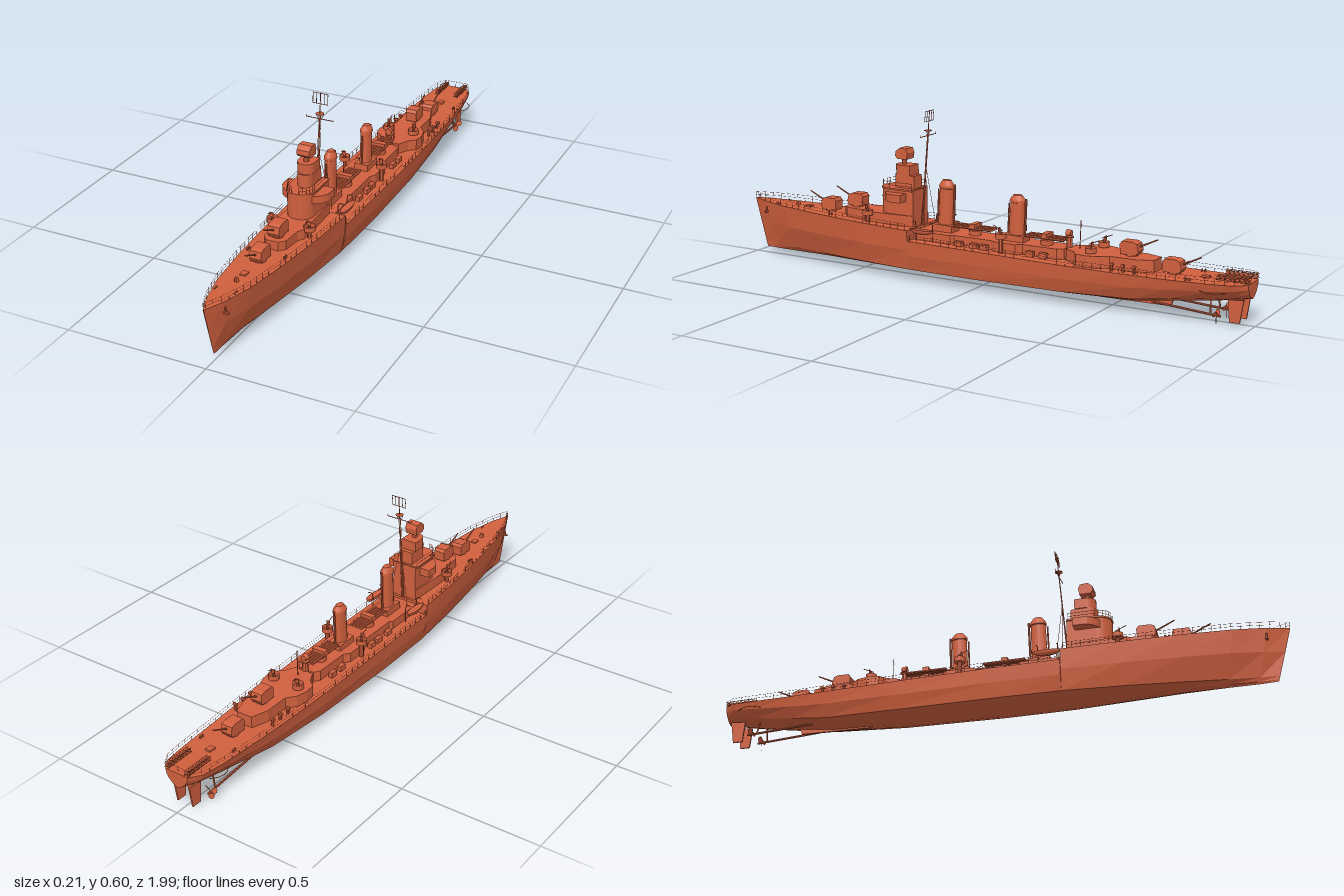
import * as THREE from 'three';
import { mergeGeometries } from 'three/addons/utils/BufferGeometryUtils.js';

const mat = new THREE.MeshStandardMaterial({ color: 0xd0603e, flatShading: true, side: THREE.DoubleSide });
const V = (x, y, z) => new THREE.Vector3(x, y, z);

// Hull stations: z, deck half width, chine half width, deck height, keel height
const STATIONS = [
  [1, 0.001, 0.001, 0.208, 0.024], [0.93, 0.03, 0.008, 0.205, 0.022], [0.82, 0.058, 0.022, 0.201, 0.022],
  [0.65, 0.08, 0.045, 0.196, 0.022], [0.45, 0.097, 0.07, 0.19, 0.022], [0.25, 0.106, 0.088, 0.186, 0.022],
  [0.249, 0.106, 0.088, 0.148, 0.022], [0, 0.107, 0.092, 0.146, 0.022], [-0.35, 0.105, 0.085, 0.14, 0.024],
  [-0.6, 0.097, 0.07, 0.138, 0.031], [-0.72, 0.09, 0.06, 0.138, 0.046], [-0.87, 0.081, 0.05, 0.14, 0.068],
  [-0.95, 0.071, 0.045, 0.143, 0.083], [-0.99, 0.045, 0.03, 0.145, 0.09],
];

export function createModel() {
  const root = new THREE.Group();
  root.name = 'warship';
  const mesh = (name, geo, parent = root) => {
    const m = new THREE.Mesh(geo, mat);
    m.name = name;
    parent.add(m);
    return m;
  };
  const box = (w, h, d, x, y, z) => new THREE.BoxGeometry(w, h, d).translate(x, y, z);
  const cyl = (r0, r1, h, x, y, z, n = 12) => new THREE.CylinderGeometry(r1, r0, h, n).translate(x, y + h / 2, z);
  const bar = (a, b, r = 0.0008, n = 4, r1 = r) => {
    const d = b.clone().sub(a);
    const g = new THREE.CylinderGeometry(r1, r, d.length(), n);
    g.applyQuaternion(new THREE.Quaternion().setFromUnitVectors(V(0, 1, 0), d.normalize()));
    return g.translate((a.x + b.x) / 2, (a.y + b.y) / 2, (a.z + b.z) / 2);
  };
  const merged = (name, list, parent) => mesh(name, mergeGeometries(list.map(g => {
    const n = g.index ? g.toNonIndexed() : g;
    n.deleteAttribute('uv');
    return n;
  })), parent);
  // Vertical block from the +x half of its plan outline, as [x, z] from front to back
  const plan = (half, y, h) => {
    const pts = [...half, ...half.slice().reverse().map(([x, z]) => [-x, z])];
    const s = new THREE.Shape(pts.map(([x, z]) => new THREE.Vector2(x, -z)));
    return new THREE.ExtrudeGeometry(s, { depth: h, bevelEnabled: false }).rotateX(-Math.PI / 2).translate(0, y, 0);
  };
  // Side profile as [z, y], extruded across the ship
  const profile = (pts, w, x = 0) => new THREE.ExtrudeGeometry(
    new THREE.Shape(pts.map(p => new THREE.Vector2(...p))), { depth: w, bevelEnabled: false })
    .translate(0, 0, -w / 2).rotateY(-Math.PI / 2).translate(x, 0, 0);

  // Hull, lofted through the stations with a raked stem
  const pos = [], idx = [], N = 9;
  for (const [z, wd, wb, yd, yk] of STATIONS) {
    const ym = (yk + 0.02 + yd) / 2, wm = wb + (wd - wb) * 0.75;
    const half = [[wd, yd], [wm, ym], [wb, yk + 0.02], [wb * 0.5, yk + 0.007]];
    const ring = [...half, [0, yk], ...half.slice().reverse().map(([x, y]) => [-x, y])];
    const rake = Math.max(0, (z - 0.6) / 0.4) * 0.05;
    for (const [x, y] of ring) pos.push(x, y, z + rake * Math.min(0, (y - 0.205) / 0.18));
  }
  for (let i = 0; i < STATIONS.length - 1; i++) for (let j = 0; j < N; j++) {
    const a = i * N + j, b = i * N + (j + 1) % N;
    idx.push(a, b, a + N, b, b + N, a + N);
  }
  const last = (STATIONS.length - 1) * N;
  for (let j = 1; j < N - 1; j++) idx.push(last, last + j, last + j + 1);
  const hull = new THREE.BufferGeometry();
  hull.setAttribute('position', new THREE.Float32BufferAttribute(pos, 3));
  hull.setIndex(idx);
  hull.computeVertexNormals();
  mesh('hull', hull);
  mesh('skeg', profile([[-0.45, 0.023], [-0.71, 0.027], [-0.72, 0.05], [-0.45, 0.04]], 0.008));

  // Deck edge lookup
  const edge = (z, first, end) => {
    for (let i = first; i < end; i++) {
      const a = STATIONS[i], b = STATIONS[i + 1];
      if (z <= a[0] && z >= b[0]) {
        const t = (a[0] - z) / (a[0] - b[0]);
        return [a[1] + (b[1] - a[1]) * t - 0.001, a[3] + (b[3] - a[3]) * t];
      }
    }
  };
  // Guard rails around the forecastle and main deck
  const rails = [];
  for (const [z0, z1, first, end, n] of [[0.998, 0.26, 0, 5, 24], [0.24, -0.985, 6, 13, 38]])
    for (const s of [-1, 1]) {
      let prev = null;
      for (let i = 0; i <= n; i++) {
        const z = z0 + (z1 - z0) * i / n, [w, y] = edge(z, first, end);
        const p = V(s * w, y, z);
        rails.push(bar(p, p.clone().setY(y + 0.022), 0.0006));
        if (prev) for (const h of [0.011, 0.022])
          rails.push(bar(prev.clone().setY(prev.y + h), p.clone().setY(p.y + h), 0.0005));
        prev = p;
      }
    }
  rails.push(bar(V(-0.045, 0.167, -0.987), V(0.045, 0.167, -0.987), 0.0006));
  merged('guardRails', rails);

  // Rudders, shafts, propellers and guards
  for (const s of [-1, 1]) {
    const gear = new THREE.Group();
    gear.name = s > 0 ? 'leftSternGear' : 'rightSternGear';
    root.add(gear);
    mesh('rudder', profile([[-0.918, 0.085], [-0.925, 0.012], [-0.96, 0.012], [-0.972, 0.09]], 0.006, s * 0.03), gear);
    mesh('propellerShaft', bar(V(s * 0.04, 0.045, -0.66), V(s * 0.043, 0.03, -0.9), 0.004, 8), gear);
    mesh('shaftStrut', bar(V(s * 0.043, 0.031, -0.865), V(s * 0.03, 0.08, -0.86), 0.003, 5), gear);
    const blades = [0, 1, 2].map(k => new THREE.CircleGeometry(0.0125, 7).scale(0.85, 1.2, 1).rotateY(0.5)
      .translate(0, -0.015, 0).rotateZ(k * Math.PI * 2 / 3).translate(s * 0.043, 0.03, -0.885));
    merged('propeller', blades, gear);
    const guard = new THREE.CatmullRomCurve3([V(s * 0.08, 0.115, -0.84), V(s * 0.096, 0.115, -0.87), V(s * 0.092, 0.115, -0.9), V(s * 0.072, 0.115, -0.925)]);
    mesh('propellerGuard', new THREE.TubeGeometry(guard, 10, 0.0012, 5), gear);
  }

  // Deckhouses
  mesh('forwardDeckhouse', plan([[0.022, 0.57], [0.04, 0.55], [0.045, 0.48], [0.058, 0.46], [0.058, 0.4], [0.05, 0.26]], 0.185, 0.04));
  mesh('midshipDeckhouse', plan([[0.06, 0.25], [0.06, 0.1], [0.05, 0.09], [0.05, -0.06], [0.062, -0.08], [0.062, -0.16], [0.045, -0.18], [0.045, -0.31], [0.03, -0.33]], 0.14, 0.037));
  mesh('aftDeckhouse', plan([[0.035, -0.34], [0.055, -0.38], [0.08, -0.4], [0.085, -0.44], [0.075, -0.48], [0.05, -0.51], [0.05, -0.6], [0.03, -0.66]], 0.135, 0.044));
  merged('deckLockers', [-1, 1].flatMap(s => [0.06, 0, -0.04, -0.22, -0.27].map(z => box(0.016, 0.018, 0.028, s * 0.066, 0.154, z))));

  // Bridge tower: a rounded front with stepped levels
  const rounded = (w, z0, z1, power = 1) => {
    const pts = [];
    for (let i = 1; i <= 6; i++) {
      const a = i / 6 * Math.PI / 2;
      pts.push([w * Math.sin(a), z1 - w * power + w * power * Math.cos(a)]);
    }
    return [...pts, [w, z0]];
  };
  const bridge = new THREE.Group();
  bridge.name = 'bridge';
  root.add(bridge);
  mesh('lowerBridge', plan(rounded(0.047, 0.26, 0.41), 0.22, 0.095), bridge);
  mesh('bridgeWings', plan(rounded(0.086, 0.29, 0.385, 0.7), 0.275, 0.028), bridge);
  mesh('bridgeRoof', plan(rounded(0.052, 0.262, 0.412), 0.312, 0.006), bridge);
  mesh('pilotTower', plan(rounded(0.026, 0.27, 0.36), 0.318, 0.046), bridge);
  mesh('directorBase', plan(rounded(0.03, 0.285, 0.355), 0.364, 0.036), bridge);
  mesh('directorPost', cyl(0.01, 0.008, 0.025, 0, 0.398, 0.325, 8), bridge);
  mesh('gunDirector', profile([[0.302, 0.42], [0.34, 0.42], [0.35, 0.43], [0.348, 0.446], [0.332, 0.46], [0.305, 0.458], [0.298, 0.442]], 0.046), bridge);
  const roofRail = rounded(0.048, 0.265, 0.408), topRail = [];
  for (const s of [-1, 1]) roofRail.forEach(([x, z], i) => {
    topRail.push(bar(V(s * x, 0.316, z), V(s * x, 0.34, z)));
    const n = roofRail[i + 1];
    if (n) for (const y of [0.329, 0.34]) topRail.push(bar(V(s * x, y, z), V(s * n[0], y, n[1])));
  });
  merged('bridgeRails', topRail, bridge);

  // Gun mounts: y, z, facing
  for (const [i, [y, z, dir]] of [[0.196, 0.65, 1], [0.225, 0.53, 1], [0.178, -0.567, -1], [0.138, -0.72, -1]].entries()) {
    const gun = new THREE.Group();
    gun.name = 'gunMount' + (i + 1);
    gun.position.set(0, y, z);
    gun.rotation.y = dir > 0 ? 0 : Math.PI;
    root.add(gun);
    mesh('mountRing', cyl(0.02, 0.02, 0.008, 0, 0, 0, 16), gun);
    mesh('gunHouse', profile([[-0.034, 0.006], [0.024, 0.006], [0.032, 0.02], [0.026, 0.044], [0.012, 0.05], [-0.028, 0.05], [-0.036, 0.04]], 0.042), gun);
    mesh('barrel', bar(V(0, 0.03, 0.02), V(0, 0.064, 0.092), 0.0035, 8, 0.0022), gun);
  }

  // Funnels: oval, slightly raked, with domed caps and steam pipes
  for (const [name, y, z, h] of [['forwardFunnel', 0.175, 0.155, 0.185], ['aftFunnel', 0.172, -0.13, 0.165]]) {
    const f = new THREE.Group();
    f.name = name;
    f.position.set(0, y, z);
    f.rotation.x = -0.04;
    root.add(f);
    mesh('base', box(0.052, 0.03, 0.08, 0, 0.012, 0), f);
    mesh('stack', new THREE.LatheGeometry([[0.025, 0], [0.023, h * 0.84], [0.026, h * 0.85], [0.025, h * 0.9], [0.014, h], [0, h]]
      .map(p => new THREE.Vector2(...p)), 16).scale(0.82, 1, 1.15), f);
    merged('steamPipes', [cyl(0.004, 0.004, h * 0.93, 0, 0, -0.033, 8), cyl(0.003, 0.003, h * 0.8, 0, 0, 0.033, 8)], f);
  }

  // Torpedo tubes: five abreast on a turntable
  for (const [name, z] of [['forwardTorpedoTubes', 0.033], ['aftTorpedoTubes', -0.25]]) {
    const parts = [cyl(0.022, 0.022, 0.018, 0, 0.176, z, 16), box(0.05, 0.012, 0.022, 0, 0.212, z)];
    for (let k = -2; k <= 2; k++) parts.push(bar(V(k * 0.0105, 0.203, z - 0.074), V(k * 0.0105, 0.203, z + 0.074), 0.005, 8));
    merged(name, parts);
  }

  // Light gun tubs on both sides: x, platform y, z, height of support
  for (const [i, [x, y, z, h]] of [[0.068, 0.215, 0.44, 0.03], [0.072, 0.195, -0.11, 0.055], [0.05, 0.182, -0.44, 0.01]].entries())
    for (const s of [-1, 1]) {
      const tub = new THREE.Group();
      tub.name = (s > 0 ? 'left' : 'right') + 'GunTub' + (i + 1);
      tub.position.set(s * x, y, z);
      root.add(tub);
      mesh('support', cyl(0.008, 0.008, h, 0, -h, 0, 8), tub);
      mesh('floor', cyl(0.019, 0.019, 0.003, 0, 0, 0, 16), tub);
      mesh('shield', new THREE.CylinderGeometry(0.019, 0.019, 0.018, 16, 1, true).translate(0, 0.009, 0), tub);
      const dir = i === 2 ? -1 : 1;
      merged('lightGun', [cyl(0.006, 0.003, 0.028, 0, 0, 0, 8), box(0.014, 0.016, 0.002, 0, 0.03, dir * 0.006),
        bar(V(0, 0.028, -dir * 0.008), V(0, 0.044, dir * 0.03), 0.0014, 6)], tub);
    }

  // Ship's boats with davits beside the forward funnel
  for (const s of [-1, 1]) {
    const boat = new THREE.SphereGeometry(1, 12, 5, 0, Math.PI * 2, Math.PI / 2, Math.PI / 2).scale(0.014, 0.018, 0.05).translate(s * 0.088, 0.192, 0.2);
    mesh(s > 0 ? 'leftBoat' : 'rightBoat', boat);
    mesh('boatCover', new THREE.CircleGeometry(1, 12).rotateX(-Math.PI / 2).scale(0.014, 1, 0.05).translate(s * 0.088, 0.191, 0.2));
    for (const z of [0.165, 0.235]) mesh('davit', new THREE.TubeGeometry(new THREE.CatmullRomCurve3(
      [V(s * 0.07, 0.148, z), V(s * 0.07, 0.2, z), V(s * 0.076, 0.218, z), V(s * 0.09, 0.215, z)]), 10, 0.0018, 5));
  }

  // Mast with ladder, yard, lookout and aerial frame
  const mastAt = (x, y) => V(x, y, 0.255 - (y - 0.17) * 0.085);
  const mast = [bar(mastAt(0, 0.17), mastAt(0, 0.6), 0.0032, 8, 0.0014), bar(mastAt(-0.05, 0.51), mastAt(0.05, 0.51), 0.0014, 6)];
  for (const s of [-1, 1]) {
    mast.push(bar(mastAt(s * 0.005, 0.18), mastAt(s * 0.004, 0.52)), bar(mastAt(s * 0.05, 0.51), mastAt(s * 0.05, 0.517)));
    mast.push(bar(mastAt(s * 0.004, 0.505), mastAt(s * 0.014, 0.527)), bar(V(s * 0.04, 0.18, 0.22), mastAt(0, 0.4), 0.0009));
  }
  for (let y = 0.2; y < 0.52; y += 0.012) mast.push(bar(mastAt(-0.005, y), mastAt(0.005, y)));
  mast.push(cyl(0.014, 0.014, 0.002, 0, 0.527, 0.225, 12));
  for (const y of [0.562, 0.598]) mast.push(bar(mastAt(-0.027, y), mastAt(0.027, y), 0.0012));
  for (const x of [-0.027, -0.014, 0.014, 0.027]) mast.push(bar(mastAt(x, 0.562), mastAt(x, 0.598), 0.0012));
  merged('mast', mast);

  // Searchlight platform and short aft pole
  merged('searchlight', [cyl(0.012, 0.01, 0.04, 0, 0.175, -0.335, 8), cyl(0.015, 0.015, 0.003, 0, 0.212, -0.335),
    new THREE.CylinderGeometry(0.012, 0.01, 0.018, 12).rotateX(Math.PI / 2).translate(0, 0.227, -0.335),
    bar(V(0, 0.175, -0.375), V(0, 0.275, -0.378), 0.0016, 6), bar(V(-0.012, 0.26, -0.378), V(0.012, 0.26, -0.378))]);

  // Depth charge racks and throwers
  const charges = [];
  for (const s of [-1, 1]) {
    for (const y of [0.15, 0.164]) for (const x of [0.032, 0.046]) charges.push(bar(V(s * x, y, -0.88), V(s * x, y, -0.992), 0.0012));
    for (let k = 0; k < 7; k++) charges.push(bar(V(s * 0.033, 0.156, -0.888 - k * 0.016), V(s * 0.045, 0.156, -0.888 - k * 0.016), 0.006, 8));
    for (const z of [-0.53, -0.57, -0.61]) charges.push(cyl(0.005, 0.005, 0.02, s * 0.075, 0.137, z, 8), bar(V(s * 0.07, 0.16, z), V(s * 0.084, 0.16, z), 0.006, 8));
  }
  merged('depthCharges', charges);

  // Foredeck fittings: anchors, capstan, hatches, bollards and staffs
  const fittings = [cyl(0.008, 0.006, 0.014, 0, 0.2, 0.8, 10), box(0.02, 0.006, 0.025, 0, 0.201, 0.75), box(0.02, 0.008, 0.025, 0, 0.142, -0.83),
    bar(V(0, 0.205, 0.985), V(0, 0.232, 0.988)), bar(V(0, 0.145, -0.98), V(0, 0.17, -0.985))];
  for (const s of [-1, 1]) {
    fittings.push(bar(V(s * 0.032, 0.185, 0.925), V(s * 0.034, 0.165, 0.925), 0.003, 6), box(0.018, 0.006, 0.008, s * 0.034, 0.166, 0.925));
    for (const z of [0.86, 0.6, -0.8]) for (const d of [0, 0.012])
      fittings.push(cyl(0.003, 0.003, 0.01, s * (z > 0.8 ? 0.035 : 0.066), z > 0 ? 0.196 : 0.138, z + d, 8));
  }
  merged('deckFittings', fittings);
  return root;
}
